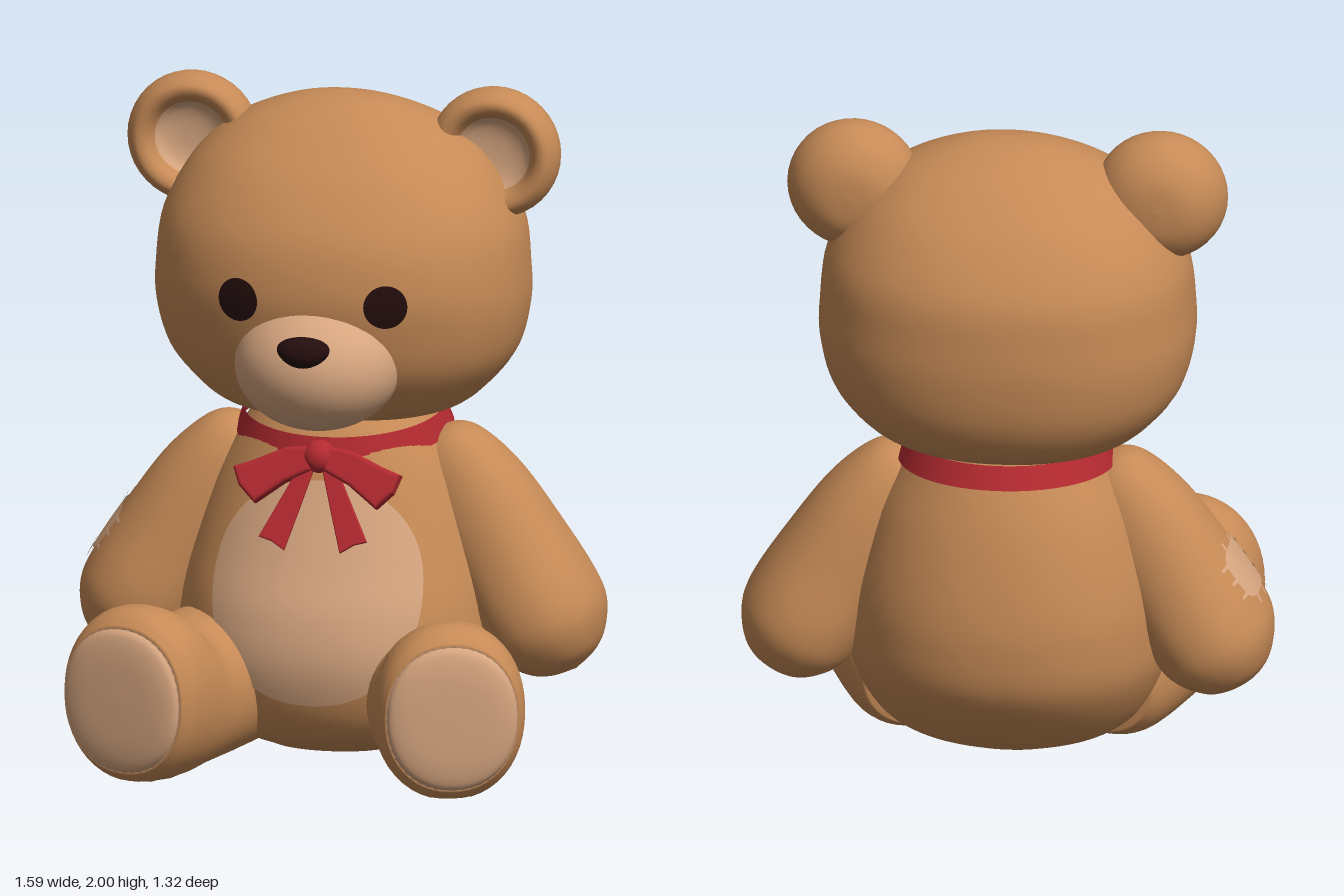
import * as THREE from 'three';

const mat = (name, color, side = THREE.FrontSide) => {
  const m = new THREE.MeshStandardMaterial({ color, side });
  m.name = name;
  return m;
};

const P = 2.15; // roundness of every cross-section
const bend = (v) => Math.sign(v) * Math.abs(v) ** (2 / P);

// Smooth profile through cross-sections [y, centreZ, radiusX, radiusZ]
function profile(sections) {
  const last = sections.length - 1;
  const spline = new THREE.CubicInterpolant(
    new Float32Array(sections.map((_, i) => i)), new Float32Array(sections.flat()), 4);
  return { last, at: (t) => Array.from(spline.evaluate(t)) };
}

// Closed skin over a profile
function loft(p, sides = 56, steps = 5) {
  const pos = [], idx = [], rows = p.last * steps;
  for (let j = 0; j <= rows; j++) {
    const [y, cz, rx, rz] = p.at(j / steps);
    for (let i = 0; i < sides; i++) {
      const a = (i / sides) * Math.PI * 2;
      pos.push(Math.max(rx, 1e-3) * bend(Math.sin(a)), y, cz + Math.max(rz, 1e-3) * bend(Math.cos(a)));
    }
  }
  for (let j = 0; j < rows; j++) {
    for (let i = 0; i < sides; i++) {
      const a = j * sides + i, b = j * sides + (i + 1) % sides;
      idx.push(a, b, b + sides, a, b + sides, a + sides);
    }
  }
  // end caps
  for (const [row, t, flip] of [[0, 0, true], [rows, p.last, false]]) {
    const c = pos.length / 3, [y, cz] = p.at(t);
    pos.push(0, y, cz);
    for (let i = 0; i < sides; i++) {
      const a = row * sides + i, b = row * sides + (i + 1) % sides;
      idx.push(c, flip ? b : a, flip ? a : b);
    }
  }
  return finish(pos, idx);
}

function finish(pos, idx) {
  const g = new THREE.BufferGeometry();
  g.setAttribute('position', new THREE.Float32BufferAttribute(pos, 3));
  g.setIndex(idx);
  g.computeVertexNormals();
  return g;
}

// Height of the front surface of a lofted profile at (x, y)
function surfaceZ(p, x, y) {
  let lo = 0, hi = p.last;
  for (let k = 0; k < 22; k++) {
    const mid = (lo + hi) / 2;
    if (p.at(mid)[0] < y) lo = mid; else hi = mid;
  }
  const [, cz, rx, rz] = p.at(lo);
  return cz + rz * Math.max(0, 1 - Math.abs(x / rx) ** P) ** (1 / P);
}

// Thin rounded patch hugging a lofted surface; square = 1 is an ellipse, smaller is boxier
function patch(p, cx, cy, rx, ry, lift, square = 1, rings = 10, sides = 40) {
  const pos = [cx, cy, surfaceZ(p, cx, cy) + lift], idx = [];
  const corner = (v) => Math.sign(v) * Math.abs(v) ** square;
  for (let j = 1; j <= rings; j++) {
    for (let i = 0; i < sides; i++) {
      const a = (i / sides) * Math.PI * 2;
      const x = cx + rx * (j / rings) * corner(Math.cos(a));
      const y = cy + ry * (j / rings) * corner(Math.sin(a));
      pos.push(x, y, surfaceZ(p, x, y) + lift);
      const n = 1 + (j - 1) * sides, a0 = n + i, b0 = n + (i + 1) % sides;
      if (j === 1) idx.push(0, a0, b0);
      else idx.push(a0 - sides, a0, b0, a0 - sides, b0, b0 - sides);
    }
  }
  return finish(pos, idx);
}

export function createModel() {
  const fur = mat('brownFur', 0xc68a56), pale = mat('paleFur', 0xd6a57f, THREE.DoubleSide);
  const red = mat('redRibbon', 0xb32a30, THREE.DoubleSide), dark = mat('darkBrown', 0x240d0d, THREE.DoubleSide);
  const bear = new THREE.Group();
  bear.name = 'teddyBear';
  const add = (name, geo, material, parent = bear) => {
    const m = new THREE.Mesh(geo, material);
    m.name = name;
    parent.add(m);
    return m;
  };

  // Body, belly patch and seat
  const body = profile([[0, -.08, .2, .16], [.06, -.08, .34, .28], [.15, -.1, .42, .37], [.3, -.135, .475, .445],
    [.45, -.157, .475, .452], [.6, -.18, .45, .42], [.8, -.195, .385, .36], [.95, -.195, .3, .305], [1.04, -.2, .24, .25]]);
  add('body', loft(body), fur);
  add('bellyPatch', patch(body, 0, .52, .32, .33, .006, .92, 16, 56), pale);
  add('seatPatch', new THREE.CircleGeometry(.13, 32).rotateX(Math.PI / 2).scale(1, 1, .8).translate(0, -.001, -.08), pale);

  // Head
  const head = profile([[.985, -.2, .22, .16], [1.03, -.19, .36, .29], [1.1, -.195, .45, .37], [1.2, -.19, .525, .43],
    [1.33, -.185, .56, .46], [1.45, -.18, .56, .467], [1.6, -.187, .54, .442], [1.75, -.19, .462, .352],
    [1.85, -.19, .365, .25], [1.91, -.185, .265, .165], [1.955, -.18, .13, .075], [1.97, -.18, 0, 0]]);
  add('head', loft(head), fur);

  // Muzzle and nose
  add('muzzle', new THREE.SphereGeometry(1, 40, 28).scale(.25, .2, .235).translate(0, 1.215, .17), pale);
  const nose = new THREE.SphereGeometry(1, 28, 20), np = nose.attributes.position;
  for (let i = 0; i < np.count; i++) np.setX(i, np.getX(i) * (1 + .22 * np.getY(i)));
  nose.scale(.078, .047, .055).translate(0, 1.297, .375);
  nose.computeVertexNormals();
  add('nose', nose, dark);

  // Ear: rounded back and rim, with a pale hollow
  const v = (list) => new THREE.SplineCurve(list.map(([r, y]) => new THREE.Vector2(r, y)));
  const earShell = v([[0, -.145], [.09, -.135], [.16, -.09], [.196, -.025], [.195, .03], [.168, .07], [.135, .065], [.112, .03]]);
  const earHollow = v([[.112, .03], [.09, .01], [.05, -.002], [0, -.005]]);
  const turned = (curve, n) => new THREE.LatheGeometry(curve.getPoints(n), 40).rotateX(Math.PI / 2);

  // Limb profiles: arm runs hand to shoulder, leg runs hip to toe
  const arm = profile([[0, 0, 0, 0], [.02, 0, .09, .075], [.06, 0, .165, .13], [.14, 0, .222, .18], [.24, 0, .232, .192],
    [.4, 0, .205, .186], [.6, 0, .17, .168], [.74, 0, .13, .128], [.81, 0, .08, .08], [.84, 0, 0, 0]]);
  const leg = profile([[0, -.2, .16, .16], [.1, -.205, .205, .21], [.3, -.21, .222, .222], [.48, -.205, .22, .218],
    [.6, -.24, .225, .262], [.69, -.255, .226, .27], [.75, -.255, .218, .256], [.79, -.255, .198, .222]]);
  const sole = profile([[.79, -.255, .198, .222], [.81, -.255, .18, .2], [.822, -.255, .12, .13], [.825, -.255, 0, 0]]);

  for (const s of [1, -1]) {
    const side = s > 0 ? 'left' : 'right';
    add(side + 'Eye', patch(head, s * .225, 1.42, .063, .066, .008), dark);

    const ear = new THREE.Group();
    ear.name = side + 'Ear';
    ear.position.set(s * .46, 1.8, -.19);
    add('earShell', turned(earShell, 28), fur, ear);
    add('earHollow', turned(earHollow, 10), pale, ear);
    bear.add(ear);

    const armGroup = new THREE.Group();
    armGroup.name = side + 'Arm';
    armGroup.position.set(s * .71, .23, -.18);
    armGroup.rotation.set(0, s * Math.PI / 2, s * .537, 'ZYX');
    add('arm', loft(arm, 40), fur, armGroup);
    if (s < 0) {
      // Sewn patch with stitches along its edges
      add('armPatch', patch(arm, 0, .325, .105, .085, .006, .5), pale, armGroup);
      for (const e of [-1, 1]) for (const k of [-.6, 0, .6]) {
        add('stitch', patch(arm, e * .108, .325 + k * .085, .024, .006, .009, .5, 2, 12), pale, armGroup);
        add('stitch', patch(arm, k * .105, .325 + e * .088, .006, .024, .009, .5, 2, 12), pale, armGroup);
      }
    }
    bear.add(armGroup);

    // Legs splay outward and rest flat on the ground
    for (const [name, p, material] of [['Leg', leg, fur], ['Sole', sole, pale]]) {
      const g = loft(p, 48).rotateX(Math.PI / 2).rotateY(s * .3).translate(s * .27, 0, -.16);
      const q = g.attributes.position;
      for (let i = 0; i < q.count; i++) q.setY(i, Math.max(0, q.getY(i)));
      g.computeVertexNormals();
      add(side + name, g, material);
    }
  }

  // Neck ribbon, lower at the front
  const band = add('neckRibbon', new THREE.CylinderGeometry(.3, .325, .07, 56, 2, true).scale(1, 1, 1.04), red);
  band.position.set(0, .97, -.2);
  band.rotation.x = .1;

  // Bow with two loops, two tails and a knot
  const bow = new THREE.Group();
  bow.name = 'bow';
  bow.position.set(0, .925, .155);
  bow.rotation.x = -.36;
  bear.add(bow);
  const plate = (pts, depth, bevel) => new THREE.ExtrudeGeometry(
    new THREE.Shape(pts.map(([x, y]) => new THREE.Vector2(x, y))),
    { depth, bevelThickness: bevel, bevelSize: bevel, bevelOffset: -bevel, bevelSegments: 3 }).translate(0, 0, -depth / 2);
  for (const s of [1, -1]) {
    const flip = (pts) => pts.map(([x, y]) => [s * x, y]);
    add('bowLoop', plate(flip([[.02, .03], [.1, .02], [.2, -.025], [.255, -.045], [.235, -.1], [.185, -.15], [.1, -.085], [.02, -.045]]), .035, .012), red, bow);
    add('bowTail', plate(flip([[.01, -.03], [.055, -.03], [.115, -.15], [.165, -.25], [.125, -.262], [.085, -.288], [.05, -.17]]), .008, .004), red, bow);
  }
  add('bowKnot', new THREE.SphereGeometry(1, 24, 16).scale(.052, .05, .045), red, bow);

  return bear;
}
